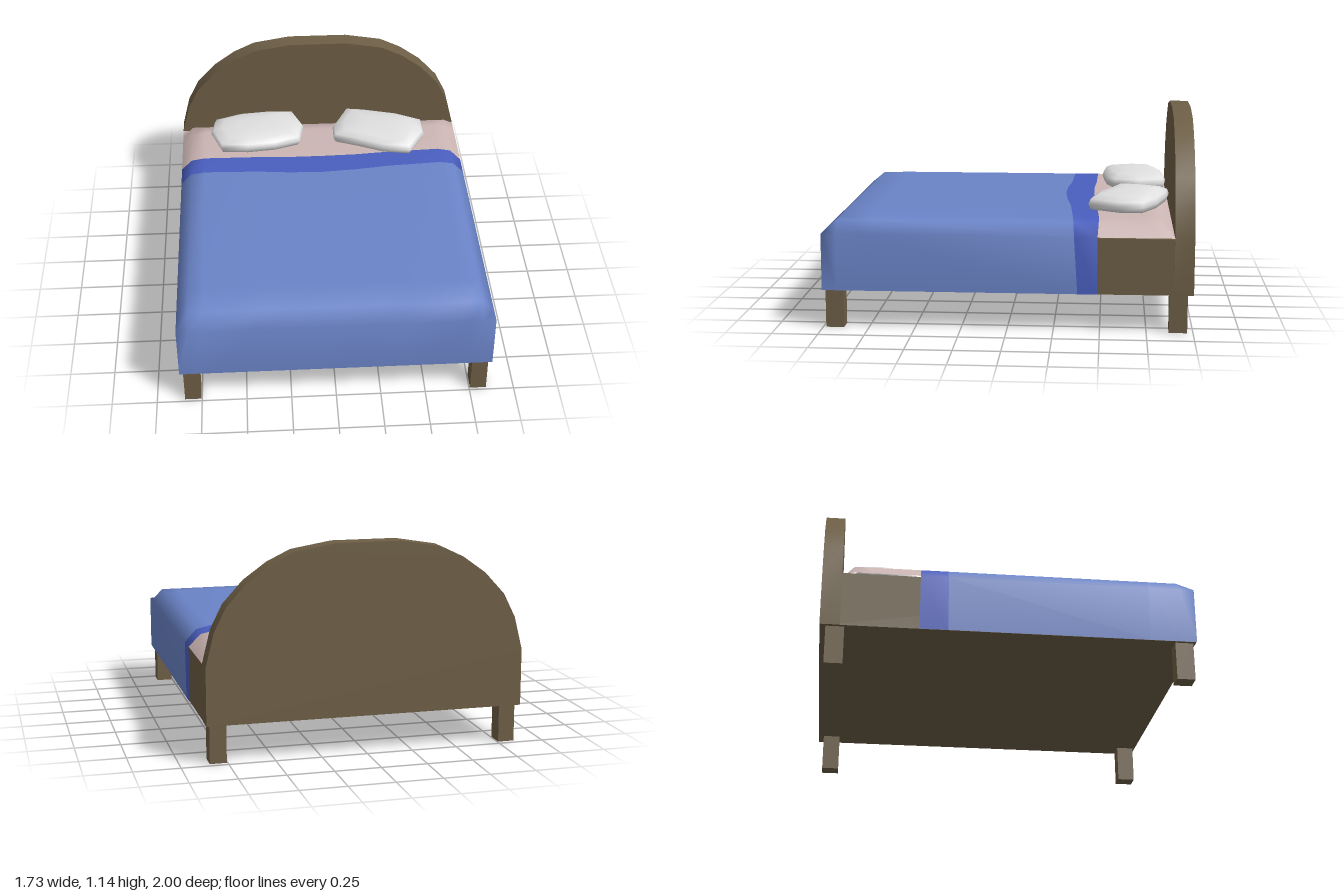
import * as THREE from 'three';
import { toCreasedNormals } from 'three/addons/utils/BufferGeometryUtils.js';

const material = (name, color) => {
  const m = new THREE.MeshStandardMaterial({ color });
  m.name = name;
  return m;
};

// Smooth grid surface from rows of [x, y, z] points; closed joins last column to first
function surface(rows, closed = false) {
  const n = rows[0].length, index = [];
  for (let i = 0; i < rows.length - 1; i++) {
    for (let j = 0; j < (closed ? n : n - 1); j++) {
      const a = i * n + j, b = i * n + (j + 1) % n, c = a + n, d = b + n;
      index.push(a, c, b, b, c, d);
    }
  }
  const geometry = new THREE.BufferGeometry();
  geometry.setAttribute('position', new THREE.Float32BufferAttribute(rows.flat(2), 3));
  geometry.setIndex(index);
  geometry.computeVertexNormals();
  return geometry;
}

export function createModel() {
  const group = new THREE.Group();
  const wood = material('wood brown', 0x6e5f46);
  const blue = material('blanket blue', 0x6b84c8);
  const deepBlue = material('fold blue', 0x4a5fc0);
  const pink = material('sheet pink', 0xccb6b4);
  const white = material('pillow white', 0xe0e0e0);
  const add = (name, geometry, mat, x = 0, y = 0, z = 0) => {
    const mesh = new THREE.Mesh(geometry, mat);
    mesh.name = name;
    mesh.position.set(x, y, z);
    group.add(mesh);
  };

  // Frame and legs
  add('frame', new THREE.BoxGeometry(1.724, 0.305, 1.947), wood, 0, 0.3625, 0.0235);
  for (const x of [-0.8, 0.8]) {
    for (const z of [-0.92, 0.935]) {
      add('leg', new THREE.BoxGeometry(0.09, 0.22, 0.098), wood, x, 0.11, z);
    }
  }

  // Arched headboard
  const half = [[0.865, 0.21], [0.865, 0.52], [0.82, 0.7], [0.755, 0.83], [0.645, 0.95],
    [0.52, 1.04], [0.395, 1.1], [0.175, 1.137]];
  const arch = [...half, ...half.map(([x, y]) => [-x, y]).reverse()];
  const board = new THREE.ExtrudeGeometry(
    new THREE.Shape(arch.map(([x, y]) => new THREE.Vector2(x, y))),
    { depth: 0.105, bevelEnabled: false });
  add('headboard', toCreasedNormals(board, 0.6), wood, 0, 0, -1);

  // Bedding cross-section, with the wavy edges of the folded band
  const side = [[-0.865, 0.21], [-0.865, 0.52], [-0.8, 0.588], [-0.72, 0.605], [-0.4, 0.605], [-0.2, 0.605]];
  const section = [...side, [0, 0.605], ...side.map(([x, y]) => [-x, y]).reverse()];
  const foldBack = [-0.48, -0.48, -0.475, -0.47, -0.465, -0.455, -0.455,
    -0.46, -0.475, -0.49, -0.49, -0.485, -0.485];
  const foldFront = [-0.33, -0.33, -0.33, -0.325, -0.315, -0.295, -0.29,
    -0.305, -0.33, -0.35, -0.355, -0.36, -0.38];
  const edge = (zs) => section.map(([x, y], i) => [x, y, zs[i]]);
  const row = (z, cap) => section.map(([x, y]) => [x, Math.min(y, cap), z]);

  add('blanket', surface([edge(foldFront), row(0.75, 0.605), row(0.92, 0.588),
    row(1, 0.52), row(1, 0.21)]), blue);
  add('foldedBand', surface([edge(foldBack), edge(foldFront)]), deepBlue);
  add('sheet', surface([row(-0.895, 0.52), row(-0.83, 0.588), row(-0.75, 0.605), edge(foldBack)]
    .map((r) => r.slice(1, -1))), pink);

  // Pillows: outline seen from above, swelled through rings of [scale, height]
  const rings = [[0, 0.7], [0.4, 0.699], [0.75, 0.69], [0.95, 0.668], [1, 0.642], [0.95, 0.612], [0.8, 0.6], [0, 0.6]];
  const pillow = (name, outline) => {
    const cx = outline.reduce((s, p) => s + p[0], 0) / outline.length;
    const cz = outline.reduce((s, p) => s + p[1], 0) / outline.length;
    add(name, surface(rings.map(([s, y]) =>
      outline.map(([x, z]) => [cx + (x - cx) * s, y, cz + (z - cz) * s])), true), white);
  };
  // Outlines run anticlockwise from above so the faces point outward
  pillow('rightPillow', [[-0.66, -0.8], [-0.5, -0.86], [-0.3, -0.88], [-0.16, -0.87], [-0.1, -0.72],
    [-0.13, -0.57], [-0.28, -0.52], [-0.46, -0.5], [-0.62, -0.515], [-0.68, -0.68]].reverse());
  pillow('leftPillow', [[0.17, -0.885], [0.27, -0.87], [0.49, -0.81], [0.645, -0.73], [0.645, -0.6],
    [0.545, -0.43], [0.38, -0.46], [0.23, -0.53], [0.08, -0.59], [0.08, -0.7]].reverse());

  return group;
}
